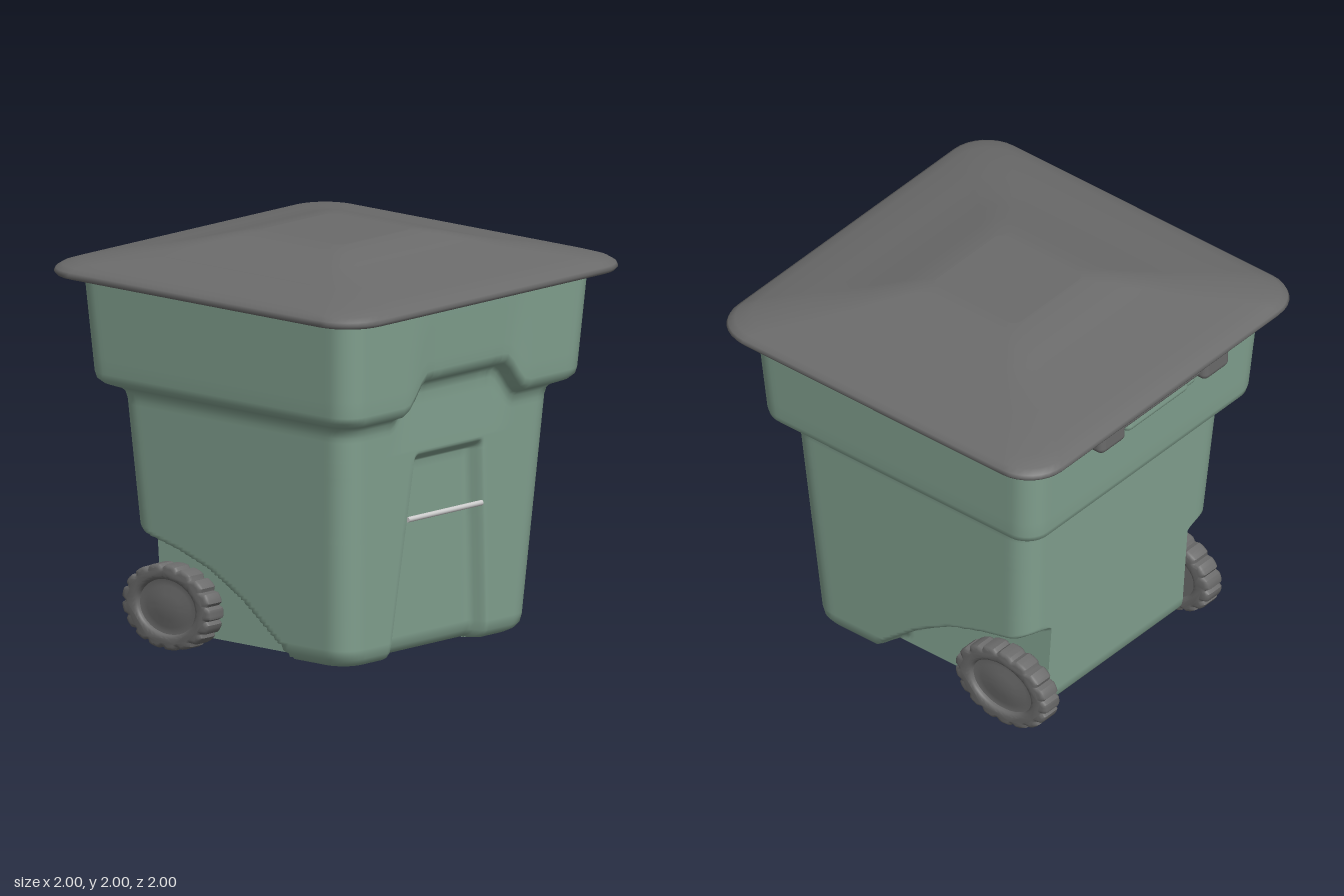
import * as THREE from 'three';
import { toCreasedNormals } from 'three/addons/utils/BufferGeometryUtils.js';
import { RoundedBoxGeometry } from 'three/addons/geometries/RoundedBoxGeometry.js';

const green = new THREE.MeshStandardMaterial({ color: 0x85a593 });
const dark = new THREE.MeshStandardMaterial({ color: 0x6b6b6b });
const metal = new THREE.MeshStandardMaterial({ color: 0xcccccc });
const smooth = (a, b, v) => THREE.MathUtils.smoothstep(v, a, b);
const lerp = THREE.MathUtils.lerp;

// Piecewise linear lookup in [[key, value], ...] with rising keys
function lookup(table, k) {
  if (k <= table[0][0]) return table[0][1];
  for (let i = 1; i < table.length; i++) {
    const [k0, v0] = table[i - 1], [k1, v1] = table[i];
    if (k <= k1) return lerp(v0, v1, (k - k0) / (k1 - k0));
  }
  return table[table.length - 1][1];
}

// Rounded square ring, counter-clockwise from above; frontX may respace the front columns
function ring(half, r, y, segs, frontX) {
  const pts = [], s = half - r, corner = 8;
  for (let k = 0; k < 4; k++) {
    const put = (n, t) => {
      const [x, z] = [[n, -t], [-t, -n], [-n, t], [t, n]][k];
      pts.push(new THREE.Vector3(x, y, z));
    };
    for (let i = 0; i <= segs; i++) {
      const u = (i / segs) * 2 - 1;
      put(half, k === 3 && frontX ? frontX(u, s) : u * s);
    }
    for (let i = 1; i < corner; i++) {
      const a = (i / corner) * Math.PI / 2;
      put(s + r * Math.cos(a), s + r * Math.sin(a));
    }
  }
  return pts;
}

// Skin a stack of rings, with optional flat caps
function loft(rings, capBottom, capTop) {
  const pos = [], index = [], n = rings[0].length;
  rings.forEach(rg => rg.forEach(p => pos.push(p.x, p.y, p.z)));
  for (let i = 0; i < rings.length - 1; i++) {
    for (let j = 0; j < n; j++) {
      const a = i * n + j, b = i * n + (j + 1) % n;
      index.push(a, b, b + n, a, b + n, a + n);
    }
  }
  const cap = (rg, up) => {
    const base = pos.length / 3;
    rg.forEach(p => pos.push(p.x, p.y, p.z));
    pos.push(0, rg[0].y, 0);
    for (let j = 0; j < n; j++) {
      const a = base + j, b = base + (j + 1) % n;
      index.push(base + n, up ? a : b, up ? b : a);
    }
  };
  if (capBottom) cap(rings[0], false);
  if (capTop) cap(rings[rings.length - 1], true);
  const g = new THREE.BufferGeometry();
  g.setAttribute('position', new THREE.Float32BufferAttribute(pos, 3));
  g.setIndex(index);
  g.computeVertexNormals();
  return g;
}

function bodyGeometry() {
  const profile = [[0.06, 0.57], [0.066, 0.605], [0.08, 0.63], [0.105, 0.648], [0.14, 0.655],
    [1.2, 0.73], [1.235, 0.738], [1.255, 0.755], [1.267, 0.785], [1.278, 0.812], [1.3, 0.833],
    [1.33, 0.84], [1.81, 0.875]];
  const wellTop = [[-0.7, 0.6], [-0.6, 0.55], [-0.4, 0.5], [-0.2, 0.43], [0, 0.31], [0.22, 0.13], [0.32, 0]];
  const ys = profile.map(p => p[0]);
  for (const [from, to, n] of [[0.14, 0.68, 45], [0.68, 1, 8], [1, 1.08, 8], [1.08, 1.2, 5], [1.33, 1.81, 6]])
    for (let i = 1; i <= n; i++) ys.push(from + (to - from) * i / n);
  const rows = [...new Set(ys.map(y => +y.toFixed(4)))].sort((a, b) => a - b);

  const rings = rows.map(y => {
    const inner = 0.2 + 0.106 * Math.max(0, 1 - y), outer = inner + 0.045;
    const columns = (u, s) => Math.sign(u) * lookup([[0, 0], [0.3, inner], [0.5, outer], [1, s]], Math.abs(u));
    const pts = ring(lookup(profile, y), 0.12, y, 48, columns);
    for (const p of pts) {
      const ax = Math.abs(p.x);
      if (p.z > 0.5) {
        // tapered front recess
        p.z -= 0.08 * (1 - smooth(inner, outer, ax)) * (1 - smooth(1, 1.06, y));
        // arch in the ledge
        const ramp = lookup([[1.08, 0], [1.2, 1], [1.33, 1], [1.8, 0]], y);
        p.y += 0.15 * ramp * (1 - smooth(0.27, 0.43, ax));
      }
      // wheel wells
      const c = lookup(wellTop, p.z);
      const inside = 1 - smooth(c - 0.035, c + 0.012, y);
      p.x = Math.sign(p.x) * lerp(ax, Math.min(ax, 0.5), inside);
    }
    return pts;
  });
  return loft(rings, true, false);
}

function lidGeometry() {
  const profile = [[1.797, 0.97], [1.8, 0.99], [1.815, 1], [1.832, 0.994], [1.85, 0.97], [1.87, 0.91],
    [1.893, 0.8], [1.912, 0.7], [1.932, 0.58], [1.957, 0.48], [1.982, 0.38], [1.995, 0.31], [2, 0.26]];
  return loft(profile.map(([y, h]) => ring(h, 0.2 * h, y, 12)), true, true);
}

function makeWheel() {
  const wheel = new THREE.Group();
  // tyre with tread lugs
  const pts = [], lugs = 17;
  for (let i = 0; i < lugs * 10; i++) {
    const a = (i / (lugs * 10)) * Math.PI * 2;
    const r = 0.181 + 0.008 * THREE.MathUtils.clamp(Math.cos(lugs * a) * 1.6 + 0.4, -1, 1);
    pts.push(new THREE.Vector2(r * Math.cos(a), r * Math.sin(a)));
  }
  const shape = new THREE.Shape(pts);
  shape.holes.push(new THREE.Path().absarc(0, 0, 0.15, 0, Math.PI * 2, true));
  const tyre = new THREE.ExtrudeGeometry(shape, {
    depth: 0.075, bevelSize: 0.017, bevelThickness: 0.02, bevelSegments: 3, curveSegments: 40,
  });
  tyre.translate(0, 0, -0.0375).rotateY(Math.PI / 2);
  add(wheel, 'tyre', toCreasedNormals(tyre, 0.7), dark);
  // dished hub
  const hub = new THREE.LatheGeometry([[0, -0.045], [0.15, -0.045], [0.15, 0.035], [0.128, 0.028],
    [0.1, 0.03], [0.06, 0.038], [0, 0.042]].map(p => new THREE.Vector2(...p)), 40);
  add(wheel, 'hub', toCreasedNormals(hub.rotateZ(-Math.PI / 2), 0.7), dark);
  wheel.scale.z = 1.37;
  return wheel;
}

function add(parent, name, geometry, material, x = 0, y = 0, z = 0) {
  const m = new THREE.Mesh(geometry, material);
  m.name = name;
  m.position.set(x, y, z);
  parent.add(m);
  return m;
}

export function createModel() {
  const bin = new THREE.Group();
  bin.name = 'wheeledBin';
  add(bin, 'body', bodyGeometry(), green);
  add(bin, 'lid', lidGeometry(), dark);

  // bar across the front recess
  const rod = (r, len) => new THREE.CylinderGeometry(r, r, len, 16).rotateZ(Math.PI / 2);
  add(bin, 'frontBar', rod(0.013, 0.52), metal, 0, 0.74, 0.69);

  // rear grip and lid hinges
  add(bin, 'rearGrip', new RoundedBoxGeometry(0.46, 0.09, 0.1, 4, 0.035), green, 0, 1.705, -0.88);
  add(bin, 'hingePin', rod(0.022, 0.8), dark, 0, 1.74, -0.92);
  for (const side of [-1, 1]) {
    add(bin, 'hinge', new RoundedBoxGeometry(0.19, 0.13, 0.095, 4, 0.035), dark, side * 0.38, 1.755, -0.925);
    add(bin, 'hingeBracket', new RoundedBoxGeometry(0.1, 0.12, 0.08, 3, 0.03), green, side * 0.26, 1.71, -0.865);
  }

  // wheels on their axle
  add(bin, 'axle', rod(0.03, 1.16), dark, 0, 0.208, -0.495);
  for (const side of [-1, 1]) {
    const wheel = makeWheel();
    wheel.name = side > 0 ? 'leftWheel' : 'rightWheel';
    wheel.position.set(side * 0.598, 0.208, -0.495);
    if (side < 0) wheel.rotation.y = Math.PI;
    bin.add(wheel);
  }
  return bin;
}
